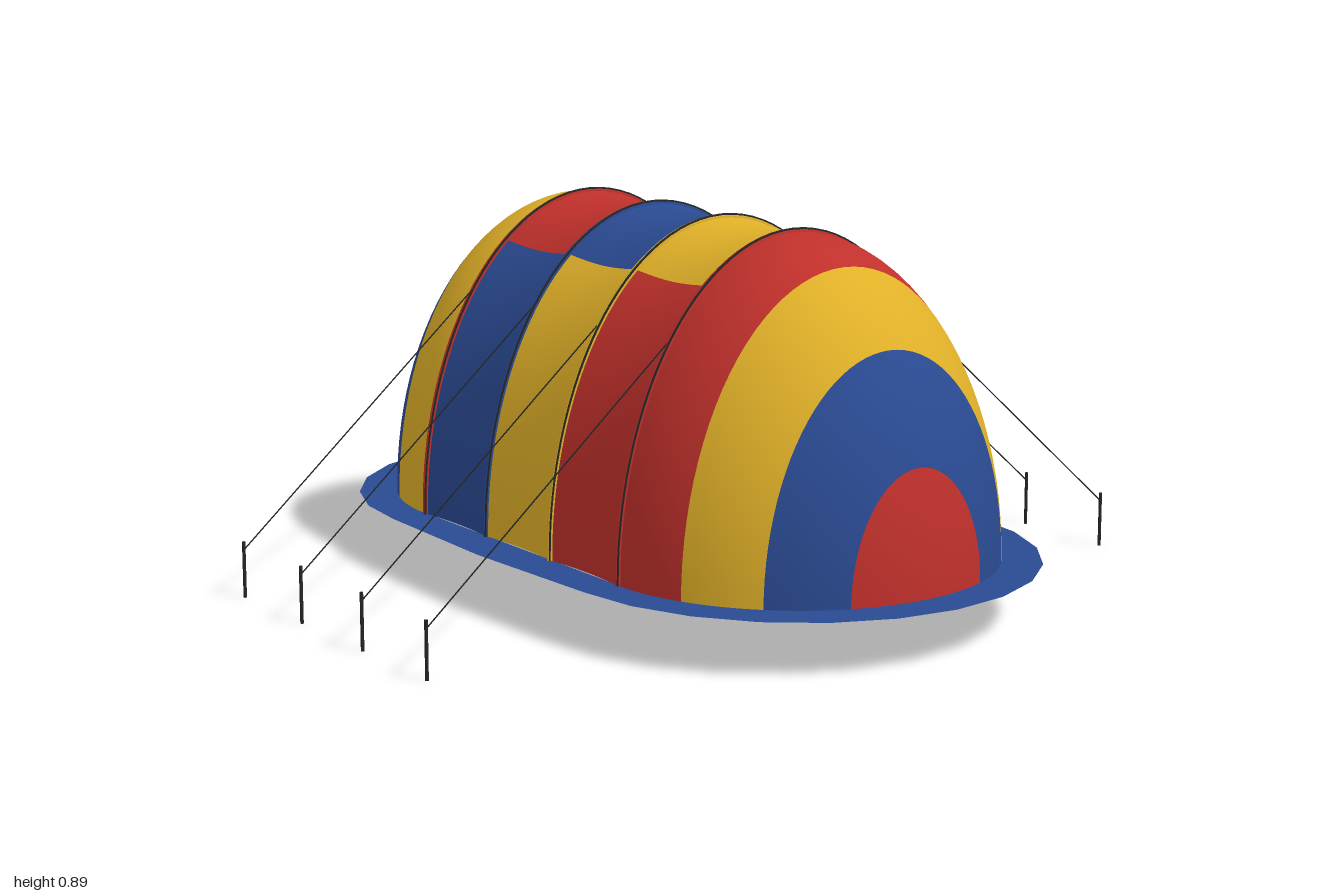
import * as THREE from 'three';

const RED = 0xc0302b, YELLOW = 0xe0b028, BLUE = 0x2a4a92, DARK = 0x242626, PALE = 0xdddddd;
const BASE = 0.13, HALF_W = 0.483, HEIGHT = 0.752, HALF_Z = 0.41, CAP = 0.49;
const RIBS = [0.41, 0.137, -0.137, -0.41];

const material = (color) => new THREE.MeshStandardMaterial({ color, side: THREE.DoubleSide });

function add(parent, name, geometry, color) {
  const mesh = new THREE.Mesh(geometry, material(color));
  mesh.name = name;
  parent.add(mesh);
  return mesh;
}

// Smooth grid surface from a rule point(u, v), with u and v in 0..1
function surface(point, nu, nv) {
  const pos = [], index = [];
  for (let j = 0; j <= nv; j++)
    for (let i = 0; i <= nu; i++) pos.push(...point(i / nu, j / nv));
  for (let j = 0; j < nv; j++)
    for (let i = 0; i < nu; i++) {
      const a = j * (nu + 1) + i, c = a + nu + 1;
      index.push(a, a + 1, c, a + 1, c + 1, c);
    }
  const g = new THREE.BufferGeometry();
  g.setAttribute('position', new THREE.Float32BufferAttribute(pos, 3));
  g.setIndex(index);
  g.computeVertexNormals();
  return g;
}

// Point on the half-ellipse arch, scaled by s
const arch = (theta, s, z) =>
  [HALF_W * s * Math.cos(theta), BASE + HEIGHT * s * Math.sin(theta), z];

// Band of a rounded end between two polar angles (0 is the tip)
function capBand(end, p0, p1, size = 1) {
  return surface((u, v) => {
    const p = end > 0 ? p1 + (p0 - p1) * v : p0 + (p1 - p0) * v;
    return arch(Math.PI * u, size * Math.sin(p), end * (HALF_Z + CAP * size * Math.cos(p)));
  }, 48, 8);
}

// Slightly sagging panel between two ribs
function panel(z0, z1, t0, t1, size = 1) {
  return surface((u, v) =>
    arch(t0 + (t1 - t0) * u, size * (1 - 0.015 * Math.sin(Math.PI * v)), z0 + (z1 - z0) * v), 20, 10);
}

// Rod between two points
function rod(parent, name, a, b, radius) {
  const curve = new THREE.LineCurve3(new THREE.Vector3(...a), new THREE.Vector3(...b));
  return add(parent, name, new THREE.TubeGeometry(curve, 1, radius, 6), DARK);
}

// Oval outline with straight or bowed sides
function outline(TypeOfPath, a, b, steps, sideX) {
  const pts = [];
  for (const end of [1, -1]) {
    for (let k = 0; k <= steps; k++) {
      const t = (Math.PI * k) / steps;
      pts.push(new THREE.Vector2(end * a * Math.cos(t), end * (HALF_Z + b * Math.sin(t))));
    }
    pts.push(new THREE.Vector2(-end * sideX, 0));
  }
  return new TypeOfPath(pts);
}

export function createModel() {
  const tent = new THREE.Group();
  tent.name = 'tent';

  // Rounded ends in concentric colour bands, tip first
  const ends = [['front', 1, [RED, BLUE, YELLOW, RED]], ['back', -1, [YELLOW, RED, BLUE, YELLOW]]];
  for (const [name, end, colors] of ends) {
    colors.forEach((color, i) =>
      add(tent, `${name}EndBand${i + 1}`, capBand(end, (i * Math.PI) / 8, ((i + 1) * Math.PI) / 8), color));
    add(tent, `${name}Liner`, capBand(end, 0, Math.PI / 2, 0.97), PALE);
  }

  // Middle bays: left side, roof, right side
  const bays = [[BLUE, YELLOW, RED], [RED, BLUE, YELLOW], [YELLOW, RED, BLUE]];
  bays.forEach((colors, b) => {
    colors.forEach((color, i) => {
      const t = (i * Math.PI) / 3;
      add(tent, `bay${b + 1}${['Left', 'Roof', 'Right'][i]}`,
        panel(RIBS[b + 1], RIBS[b], t, t + Math.PI / 3), color);
    });
    add(tent, `bay${b + 1}Liner`, panel(RIBS[b + 1], RIBS[b], 0, Math.PI, 0.97), PALE);
  });

  // Pole sleeves, each with a thin pole on its crown
  const archCurve = (s, z) => new THREE.CatmullRomCurve3(Array.from({ length: 33 }, (_, i) =>
    new THREE.Vector3(...arch((Math.PI * i) / 32, s, z))));
  [RED, YELLOW, BLUE, RED].forEach((color, i) => {
    add(tent, 'poleSleeve', new THREE.TubeGeometry(archCurve(1, RIBS[i]), 64, 0.008, 8), color);
    add(tent, 'pole', new THREE.TubeGeometry(archCurve(1.008, RIBS[i] + 0.004), 64, 0.003, 6), DARK);
  });

  // Arched door zip lying on the back end
  const zip = [];
  for (let i = 0; i <= 32; i++) {
    const t = (Math.PI * i) / 32, x = 0.2 * Math.cos(t), y = 0.55 * Math.sin(t);
    const depth = Math.sqrt(1 - (x / HALF_W) ** 2 - (y / HEIGHT) ** 2);
    zip.push(new THREE.Vector3(x, BASE + y, -HALF_Z - CAP * depth));
  }
  add(tent, 'doorZip', new THREE.TubeGeometry(new THREE.CatmullRomCurve3(zip), 64, 0.005, 6), DARK);

  // Flat skirt around the foot
  const skirt = outline(THREE.Shape, 0.575, 0.59, 12, 0.592);
  skirt.holes.push(outline(THREE.Path, HALF_W - 0.003, CAP - 0.003, 48, HALF_W - 0.003));
  const skirtMesh = add(tent, 'skirt', new THREE.ShapeGeometry(skirt).rotateX(-Math.PI / 2), BLUE);
  skirtMesh.position.y = BASE;

  // Ground sheet
  add(tent, 'groundSheet', new THREE.BoxGeometry(0.9, 0.008, 1.4), DARK).position.y = 0.122;

  // Guy ropes and stakes
  for (const side of [1, -1])
    for (const z of RIBS) {
      rod(tent, 'guyRope', [side * 0.98, 0.115, z], [side * 0.34, 0.67, z], 0.0016);
      rod(tent, 'stake', [side * 0.98, 0, z], [side * 0.98, 0.135, z], 0.004);
    }
  return tent;
}
